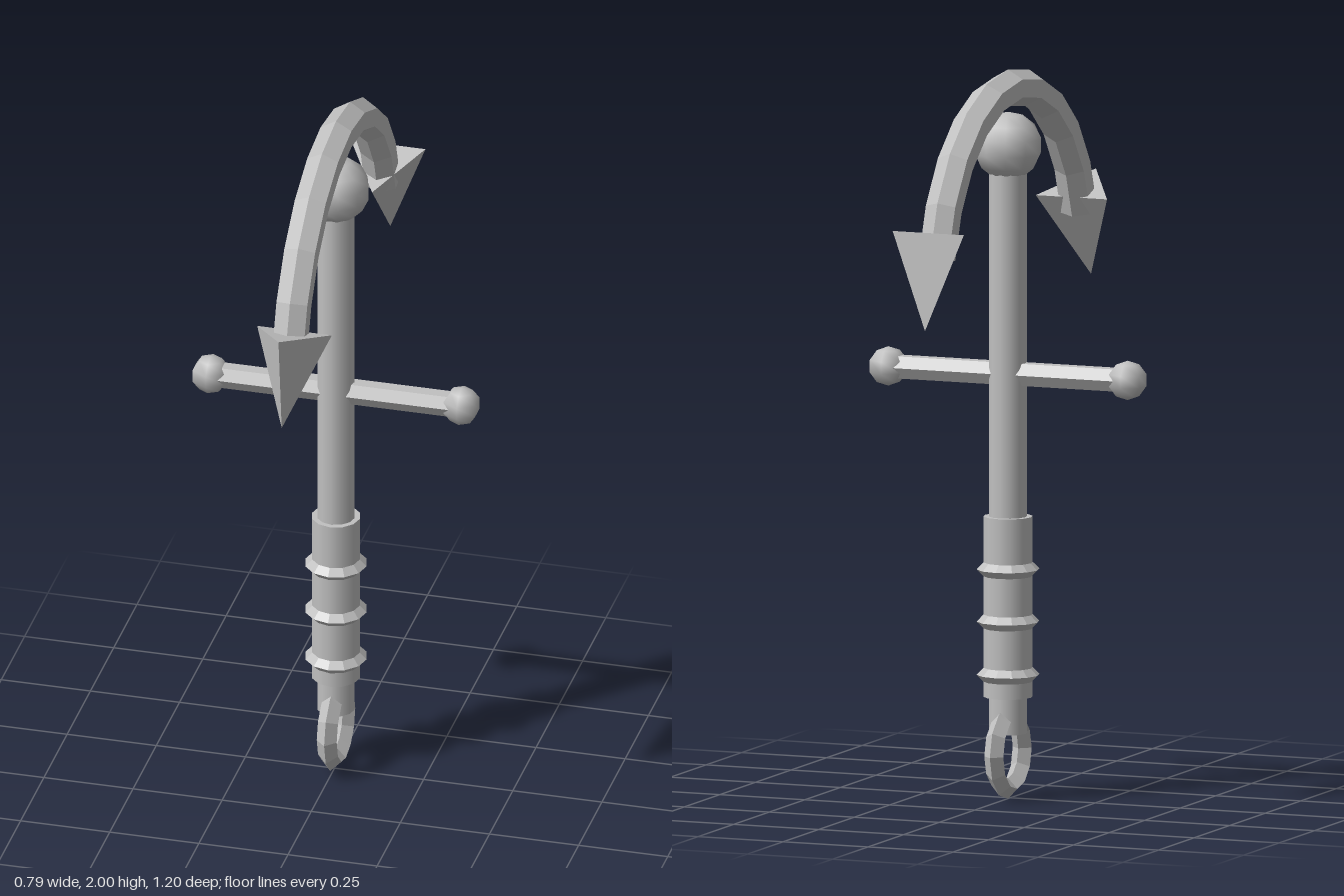
import * as THREE from 'three';
import { toCreasedNormals } from 'three/addons/utils/BufferGeometryUtils.js';

export function createModel() {
  const model = new THREE.Group();
  model.name = 'anchor';
  const steel = new THREE.MeshStandardMaterial({ color: 0xc0c0c0 });
  steel.name = 'grey steel';
  const axisZ = -0.016;

  const add = (name, geometry, x, y, z = 0) => {
    const mesh = new THREE.Mesh(geometry, steel);
    mesh.name = name;
    mesh.position.set(x, y, axisZ + z);
    model.add(mesh);
    return mesh;
  };
  const faceted = (geometry) => toCreasedNormals(geometry, 0.05);
  const rod = (radius, bottom, top, name) =>
    add(name, new THREE.CylinderGeometry(radius, radius, top - bottom, 12), 0, (bottom + top) / 2);

  // Upright shaft, sleeve and crown ball
  rod(0.052, 0.18, 1.8, 'shaft');
  rod(0.067, 0.28, 0.775, 'sleeve');
  add('crownBall', new THREE.SphereGeometry(0.094, 10, 7), 0, 1.79);

  // Sharp-edged collars around the sleeve
  for (const y of [0.341, 0.487, 0.63]) {
    const collar = new THREE.TorusGeometry(0.066, 0.02, 4, 12).rotateX(Math.PI / 2);
    add('collar', faceted(collar), 0, y);
  }

  // Hexagonal crossbar with end balls
  const bar = new THREE.CylinderGeometry(0.035, 0.035, 0.7, 6).rotateZ(Math.PI / 2);
  add('crossbar', faceted(bar), 0, 1.167);
  for (const side of [-1, 1]) {
    const ball = new THREE.SphereGeometry(0.054, 6, 5).rotateY(Math.PI / 2);
    add('crossbarBall', ball, side * 0.352, 1.167);
  }

  // Shackle ring at the foot
  const ring = new THREE.TorusGeometry(0.1, 0.028, 4, 12).rotateY(Math.PI / 2);
  add('shackleRing', faceted(ring), 0, 0.128);

  // Curved arms: one hexagonal arc in the YZ plane
  const arc = THREE.MathUtils.degToRad(156);
  const arms = new THREE.TorusGeometry(0.51, 0.05, 6, 10, arc)
    .rotateZ((Math.PI - arc) / 2)
    .rotateY(Math.PI / 2);
  add('arms', faceted(arms), 0, 1.44);

  // Three-sided flukes, points down and tilted outward
  for (const side of [-1, 1]) {
    const fluke = new THREE.CylinderGeometry(0.121, 0, 0.26, 3).translate(0, -0.13, 0);
    add('fluke', faceted(fluke), 0, 1.608, side * 0.503).rotation.x = -side * 0.315;
  }

  return model;
}
